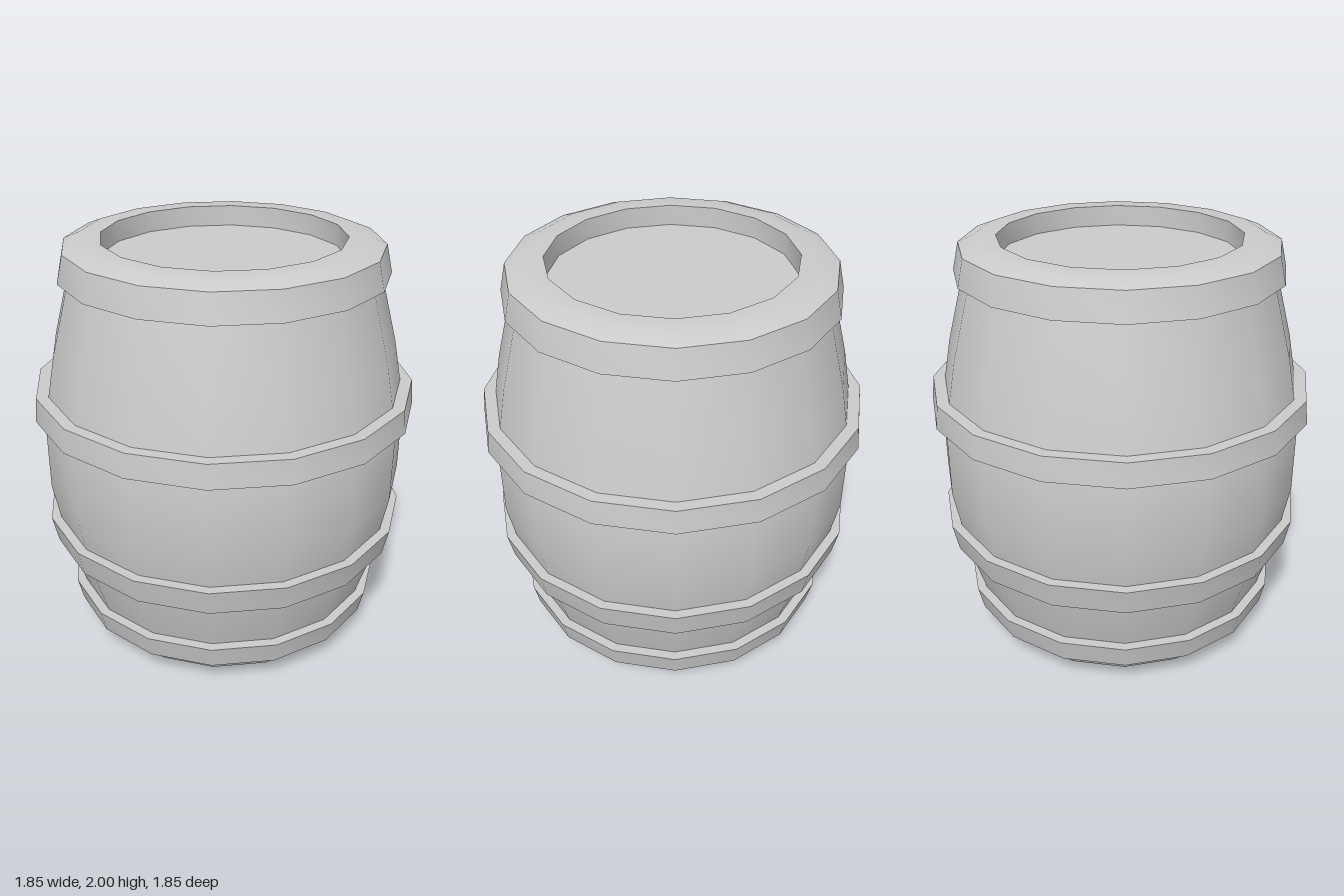
import * as THREE from 'three';
import { toCreasedNormals } from 'three/addons/utils/BufferGeometryUtils.js';

const SIDES = 16;
const material = new THREE.MeshStandardMaterial({ color: 0xcccccc });

// Turned part from [radius, height] pairs, listed so that faces point outwards
function turned(name, profile) {
  const points = profile.map(([r, y]) => new THREE.Vector2(r, y));
  const geometry = toCreasedNormals(new THREE.LatheGeometry(points, SIDES), Math.PI / 6);
  const mesh = new THREE.Mesh(geometry, material);
  mesh.name = name;
  return mesh;
}

export function createModel() {
  const barrel = new THREE.Group();
  barrel.name = 'barrel';

  // Bulging wooden body with a chamfered base
  barrel.add(turned('body', [
    [0, 0], [0.575, 0], [0.66, 0.03], [0.705, 0.105], [0.75, 0.25],
    [0.825, 0.5], [0.85, 0.65], [0.883, 0.83], [0.883, 1.18],
    [0.858, 1.305], [0.82, 1.5], [0.73, 1.84],
  ]));

  // Hoops: inner bottom, outer bottom, outer top, inner top
  const hoops = {
    baseHoop: [[0.705, 0.105], [0.77, 0.135], [0.797, 0.25], [0.75, 0.25]],
    lowerHoop: [[0.825, 0.5], [0.87, 0.52], [0.897, 0.65], [0.85, 0.65]],
    upperHoop: [[0.883, 1.175], [0.927, 1.19], [0.915, 1.305], [0.858, 1.305]],
  };
  for (const [name, profile] of Object.entries(hoops)) barrel.add(turned(name, profile));

  // Top rim with its bevel, stepping down to the sunken lid
  barrel.add(turned('topRim', [
    [0.73, 1.84], [0.775, 1.84], [0.745, 1.97], [0.67, 2], [0.57, 2], [0.57, 1.9],
  ]));
  barrel.add(turned('lid', [[0.57, 1.9], [0, 1.9]]));

  return barrel;
}
